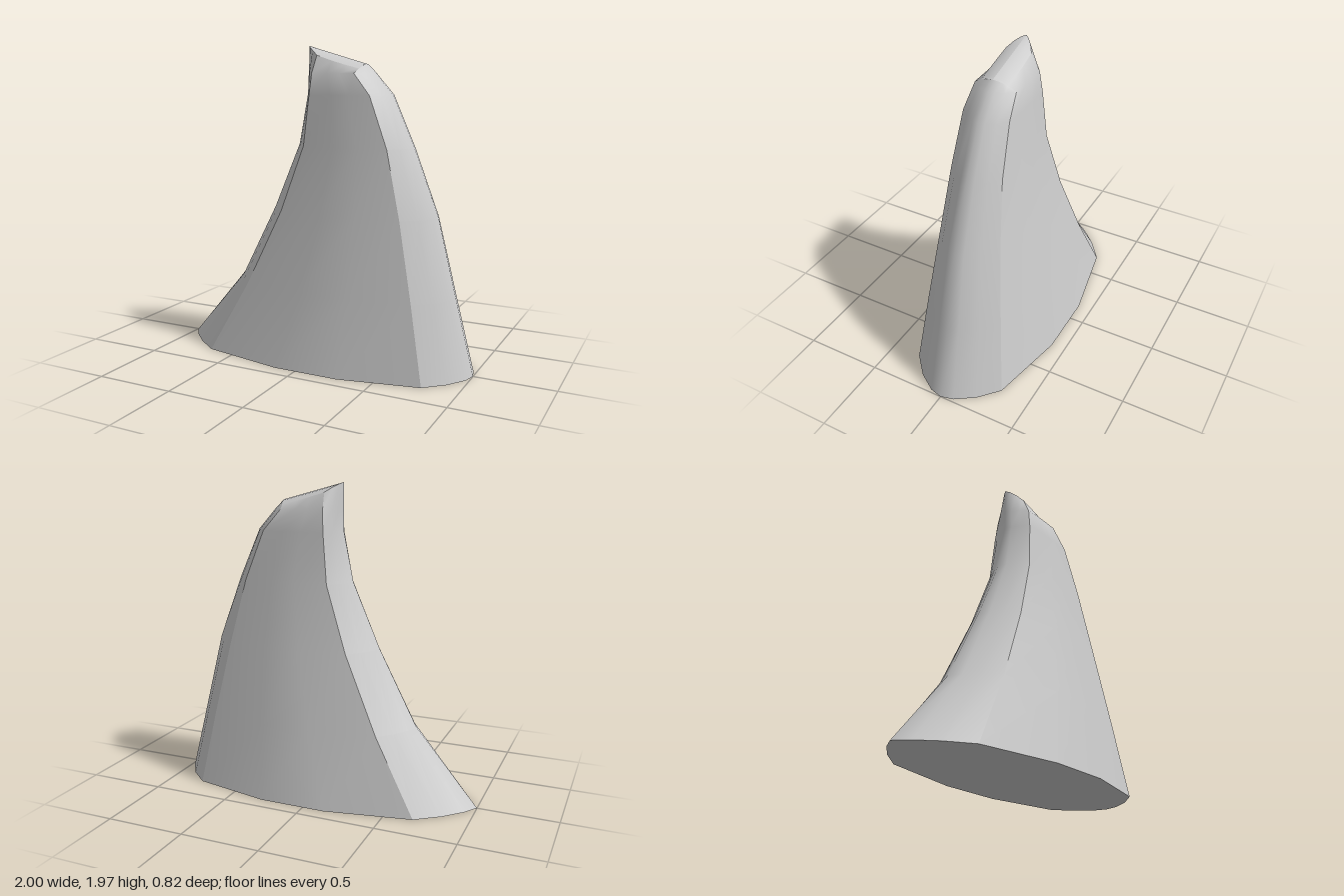
import * as THREE from 'three';

// Sections from base to rim: height, left tip, left shoulder, right shoulder, right tip,
// half depth, shoulder depth ratio
const SECTIONS = [
  [0.00, -1.00, -0.68, 0.78, 1.00, 0.41, 0.75],
  [0.47, -0.60, -0.42, 0.69, 0.88, 0.33, 0.78],
  [0.95, -0.35, -0.20, 0.59, 0.76, 0.25, 0.82],
  [1.36, -0.17, -0.06, 0.49, 0.60, 0.19, 0.88],
  [1.67, -0.105, -0.03, 0.37, 0.46, 0.157, 0.95],
  [1.80, -0.105, -0.02, 0.26, 0.345, 0.137, 0.97],
];
const RIM = [1.9, -0.105, -0.01, 0.27, 0.29, 0.087, 0.95];

// Closed ring of 18 points, from the left tip along the front and back along the rear
function ring([y, xl, xL, xR, xr, half, ratio]) {
  const s = half * ratio;
  const mix = THREE.MathUtils.lerp;
  const front = [
    [xl, 0], [mix(xl, xL, 0.19), 0.29 * s], [mix(xl, xL, 0.53), 0.645 * s], [xL, s],
    [mix(xL, xR, 0.37), half], [mix(xL, xR, 0.66), half],
    [xR, s], [mix(xR, xr, 0.55), 0.645 * s], [mix(xR, xr, 0.91), 0.26 * s], [xr, 0],
  ];
  const rear = front.slice(1, -1).reverse().map(([x, z]) => [x, -z]);
  return [...front, ...rear].map(([x, z]) => new THREE.Vector3(x, y, z));
}

// Smooth skin over some columns of a stack of rings
function skin(name, rings, first, last, material) {
  const cols = last - first + 1;
  const points = [];
  const index = [];
  rings.forEach((r, j) => {
    for (let i = 0; i < cols; i++) {
      points.push(r[(first + i) % r.length]);
      if (j === 0 || i === 0) continue;
      const d = j * cols + i, c = d - 1, b = d - cols, a = b - 1;
      index.push(a, b, d, a, d, c);
    }
  });
  const geometry = new THREE.BufferGeometry().setFromPoints(points);
  geometry.setIndex(index);
  geometry.computeVertexNormals();
  const mesh = new THREE.Mesh(geometry, material);
  mesh.name = name;
  return mesh;
}

export function createModel() {
  const group = new THREE.Group();
  group.name = 'fin';
  const material = new THREE.MeshStandardMaterial({ color: 0xcccccc, side: THREE.DoubleSide });

  // The rim slopes down to the right and sags away from the centre ridge
  const slope = (x) => 1.965 - 0.28 * (x + 0.105);
  const rim = ring(RIM);
  rim.forEach((p) => { p.y = slope(p.x) - 0.035 * (p.z / 0.087) ** 2; });
  const rings = [...SECTIONS.map(ring), rim];

  // Broad sides and rounded edges meet in creases at the shoulders
  group.add(
    skin('frontSide', rings, 3, 6, material),
    skin('rightEdge', rings, 6, 12, material),
    skin('backSide', rings, 12, 15, material),
    skin('leftEdge', rings, 15, 21, material),
  );

  // Arched top between the rim and its ridge
  const inset = (k) => rim.map((p) =>
    new THREE.Vector3(p.x, slope(p.x) - 0.035 * (p.z * k / 0.087) ** 2, p.z * k));
  group.add(skin('top', [rim, inset(0.5), inset(0)], 0, 18, material));

  // Flat underside
  const outline = new THREE.Shape(rings[0].map((p) => new THREE.Vector2(p.x, p.z)));
  const base = new THREE.Mesh(new THREE.ShapeGeometry(outline).rotateX(Math.PI / 2), material);
  base.name = 'base';
  group.add(base);
  return group;
}
